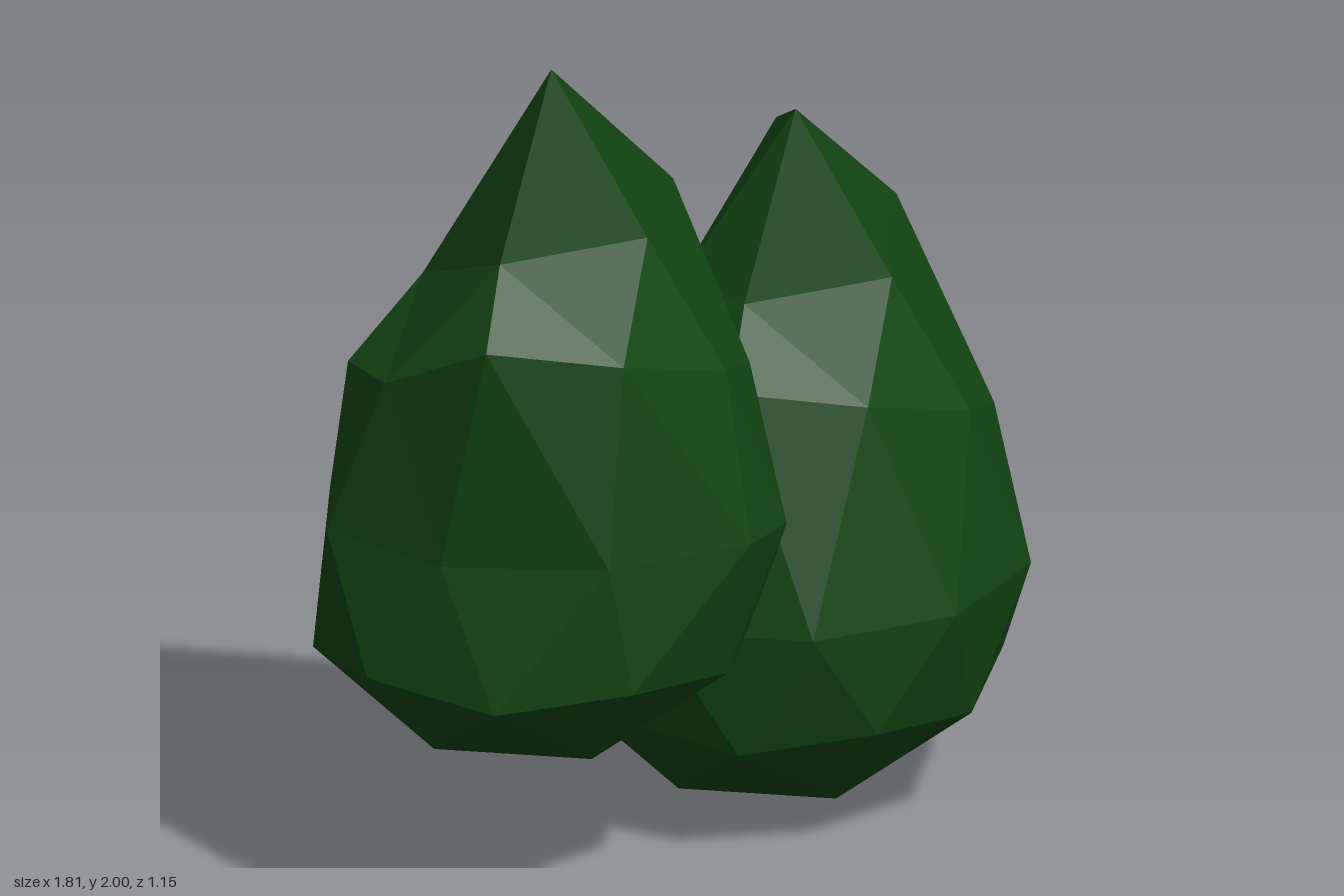
import * as THREE from 'three';

// A ring of n points [x, y, z]; radius and height alternate between even and odd points.
// Points named in `moved` (by index) replace the regular ones.
function ring(n, startDeg, radii, heights, moved = {}) {
  return Array.from({ length: n }, (_, i) => {
    const a = THREE.MathUtils.degToRad(startDeg + (i * 360) / n);
    const r = radii[i % radii.length];
    return moved[i] || [r * Math.cos(a), heights[i % heights.length], r * Math.sin(a)];
  });
}

// Icosphere-like faceted bush, drawn up to a folded, pointed top
function bushGeometry({ low = {}, belly, crown }) {
  const bottom = [0, 0, 0];
  const tip = [-0.06, 1.7, 0.125];
  const base = ring(5, 36, [0.305], [0.09]);
  const lower = ring(10, 0, [0.495, 0.515], [0.28, 0.32], low);
  const middle = ring(10, 18, [0.58], [0.59], belly);
  const upper = ring(10, 0, [0.5, 0.48], [1, 0.95], {
    0: [0.46, 0.96, 0.13], 1: [0.4, 0.91, 0.29], 2: [0.17, 1.0, 0.45],
    3: [-0.155, 1.1, 0.455], 4: [-0.405, 1.15, 0.27], 5: [-0.43, 1.0, -0.03],
    6: [-0.36, 0.98, -0.22], 7: [-0.13, 0.98, -0.31], 8: [0.13, 1.05, -0.27],
    9: [0.39, 0.97, -0.16],
  });
  const top = ring(5, 0, [0.3], [1.3], {
    1: [0.1, 1.29, 0.27], 2: [-0.25, 1.29, 0.155], ...crown,
  });

  const pos = [];
  const face = (...corners) => corners.forEach((p) => pos.push(...p));
  const at = (points, i) => points[(i + points.length) % points.length];

  // Side bands
  for (let j = 0; j < 10; j++) {
    face(at(lower, j + 1), lower[j], middle[j]);
    face(middle[j], at(middle, j + 1), at(lower, j + 1));
    face(at(middle, j + 1), middle[j], at(upper, j + 1));
    face(upper[j], at(upper, j + 1), middle[j]);
  }
  // Underside and crown
  for (let k = 0; k < 5; k++) {
    const j = 2 * k;
    face(lower[j], lower[j + 1], base[k]);
    face(lower[j + 1], at(lower, j + 2), base[k]);
    face(at(base, k + 1), base[k], at(lower, j + 2));
    face(base[k], at(base, k + 1), bottom);
    face(upper[j], at(upper, j - 1), top[k]);
    face(upper[j + 1], upper[j], top[k]);
    face(top[k], at(top, k + 1), upper[j + 1]);
    face(at(top, k + 1), top[k], tip);
  }
  const geo = new THREE.BufferGeometry();
  geo.setAttribute('position', new THREE.Float32BufferAttribute(pos, 3));
  geo.computeVertexNormals();
  return geo;
}

export function createModel() {
  const group = new THREE.Group();
  const leaf = new THREE.MeshStandardMaterial({ color: 0x134513, flatShading: true, side: THREE.DoubleSide });

  const addBush = (name, shape, position) => {
    const mesh = new THREE.Mesh(bushGeometry(shape), leaf);
    mesh.name = name;
    mesh.position.set(...position);
    group.add(mesh);
  };

  // Lower bush, flattened at the back
  addBush('lowerBush', {
    low: { 7: [-0.16, 0.32, -0.51] },
    belly: { 6: [-0.34, 0.61, -0.44], 7: [0, 0.62, -0.47], 8: [0.34, 0.6, -0.49] },
    crown: { 0: [0.25, 1.41, 0.13], 3: [-0.25, 1.28, -0.06], 4: [0.03, 1.61, -0.03] },
  }, [0.35, 0, 0]);

  // Raised bush, with its belly pushed sideways and a wider crown
  addBush('raisedBush', {
    low: { 7: [-0.055, 0.22, -0.55] },
    belly: {
      2: [0.125, 0.63, 0.575], 3: [-0.215, 0.63, 0.47], 4: [-0.45, 0.62, 0.17],
      5: [-0.475, 0.62, -0.17], 6: [-0.3, 0.62, -0.34], 7: [0.125, 0.68, -0.5],
      8: [0.345, 0.65, -0.49], 9: [0.475, 0.65, -0.31],
    },
    crown: { 0: [0.355, 1.31, 0.09], 3: [-0.165, 1.15, -0.18], 4: [0.115, 1.51, -0.06] },
  }, [-0.395, 0.3, -0.02]);

  return group;
}
